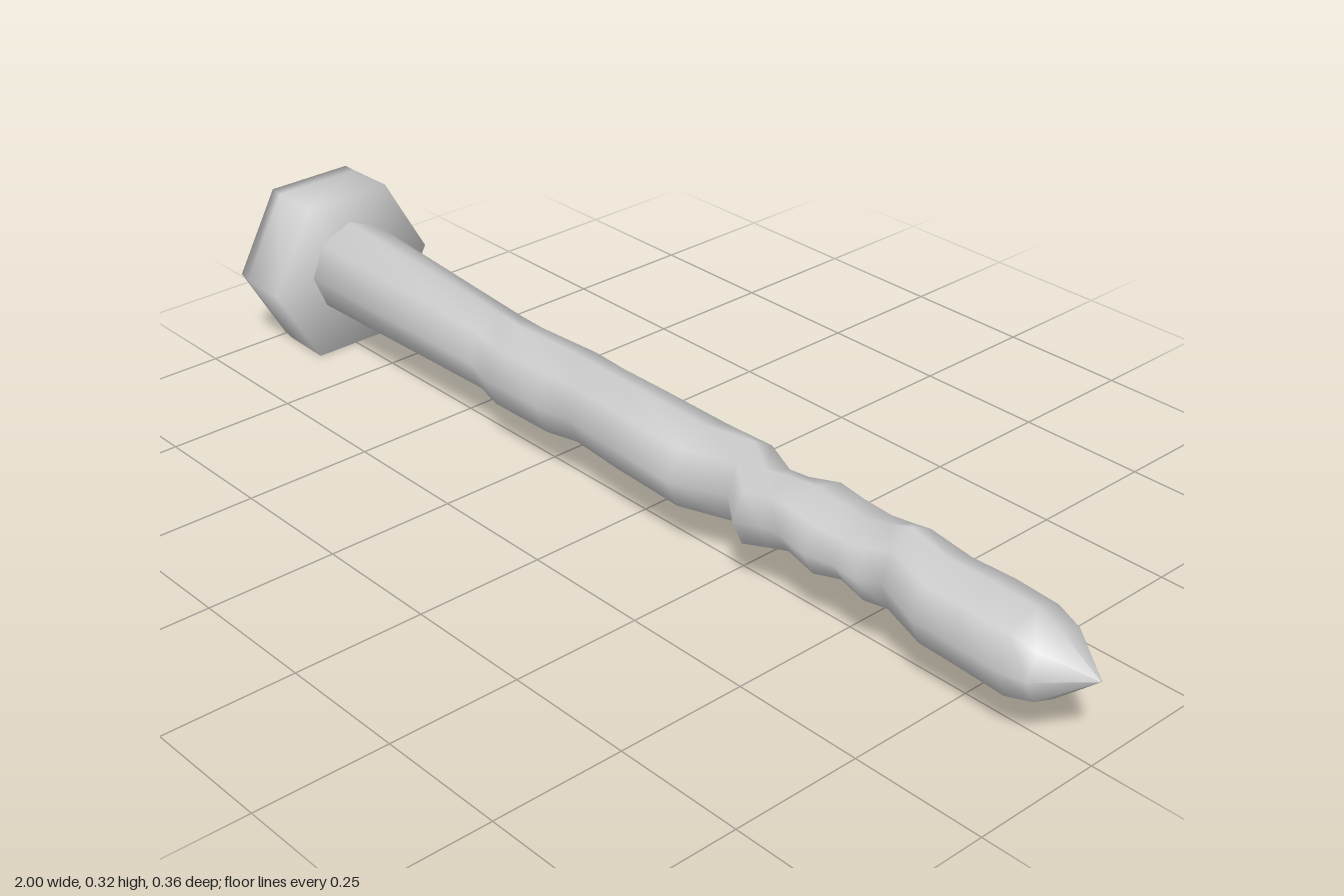
import * as THREE from 'three';

const material = new THREE.MeshStandardMaterial({ color: 0xcccccc });

// Skin closed rings of equal size along +x, capped at both ends, smooth shaded.
function loft(name, sections, sides) {
  const pos = [], index = [];
  for (const [x, top, bottom, back, front] of sections) {
    const cy = (top + bottom) / 2, cz = (back + front) / 2;
    for (let j = 0; j < sides; j++) {
      const a = (j / sides) * Math.PI * 2;
      pos.push(x, cy + Math.sin(a) * (top - bottom) / 2, cz + Math.cos(a) * (front - back) / 2);
    }
  }
  const last = (sections.length - 1) * sides;
  for (let i = 0; i < last; i += sides) {
    for (let j = 0; j < sides; j++) {
      const k = (j + 1) % sides;
      const a = i + j, b = i + k, c = a + sides, d = b + sides;
      index.push(a, c, b, b, c, d);
    }
  }
  // End caps
  const ends = [sections[0], sections[sections.length - 1]];
  ends.forEach(([x, top, bottom, back, front], e) => {
    const centre = pos.length / 3, base = e * last;
    pos.push(x, (top + bottom) / 2, (back + front) / 2);
    for (let j = 0; j < sides; j++) {
      const a = base + j, b = base + (j + 1) % sides;
      index.push(centre, e ? b : a, e ? a : b);
    }
  });
  const geometry = new THREE.BufferGeometry();
  geometry.setAttribute('position', new THREE.Float32BufferAttribute(pos, 3));
  geometry.setIndex(index);
  geometry.computeVertexNormals();
  const mesh = new THREE.Mesh(geometry, material);
  mesh.name = name;
  return mesh;
}

export function createModel() {
  const group = new THREE.Group();
  group.name = 'bolt';

  // Hexagonal head; ring extents are those of the circle around the hexagon
  const head = [
    [-1, 0.342, -0.018, -0.178, 0.172],
    [-0.97, 0.342, -0.02, -0.18, 0.178],
    [-0.87, 0.343, -0.024, -0.182, 0.178],
  ];
  group.add(loft('head', head, 6));

  // Worn shank and pointed tip: x, top, bottom, back, front
  const shank = [
    [-0.88, 0.265, 0.078, -0.096, 0.091],
    [-0.4, 0.24, 0.08, -0.073, 0.072],
    [-0.34, 0.238, 0.073, -0.077, 0.085],
    [-0.2, 0.24, 0.072, -0.085, 0.084],
    [-0.12, 0.238, 0.085, -0.078, 0.077],
    [0, 0.243, 0.086, -0.074, 0.09],
    [0.15, 0.236, 0.077, -0.082, 0.088],
    [0.25, 0.237, 0.075, -0.078, 0.042],
    [0.31, 0.22, 0.08, -0.066, 0.088],
    [0.36, 0.23, 0.092, -0.056, 0.076],
    [0.41, 0.229, 0.112, -0.084, 0.082],
    [0.47, 0.226, 0.098, -0.08, 0.086],
    [0.53, 0.222, 0.117, -0.076, 0.082],
    [0.58, 0.236, 0.099, -0.072, 0.084],
    [0.62, 0.248, 0.093, -0.064, 0.066],
    [0.7, 0.23, 0.076, -0.076, 0.085],
    [0.78, 0.226, 0.07, -0.086, 0.083],
    [0.87, 0.225, 0.065, -0.08, 0.083],
    [0.92, 0.208, 0.082, -0.066, 0.073],
    [1, 0.156, 0.154, -0.002, 0.002],
  ];
  group.add(loft('shank', shank, 8));

  return group;
}
